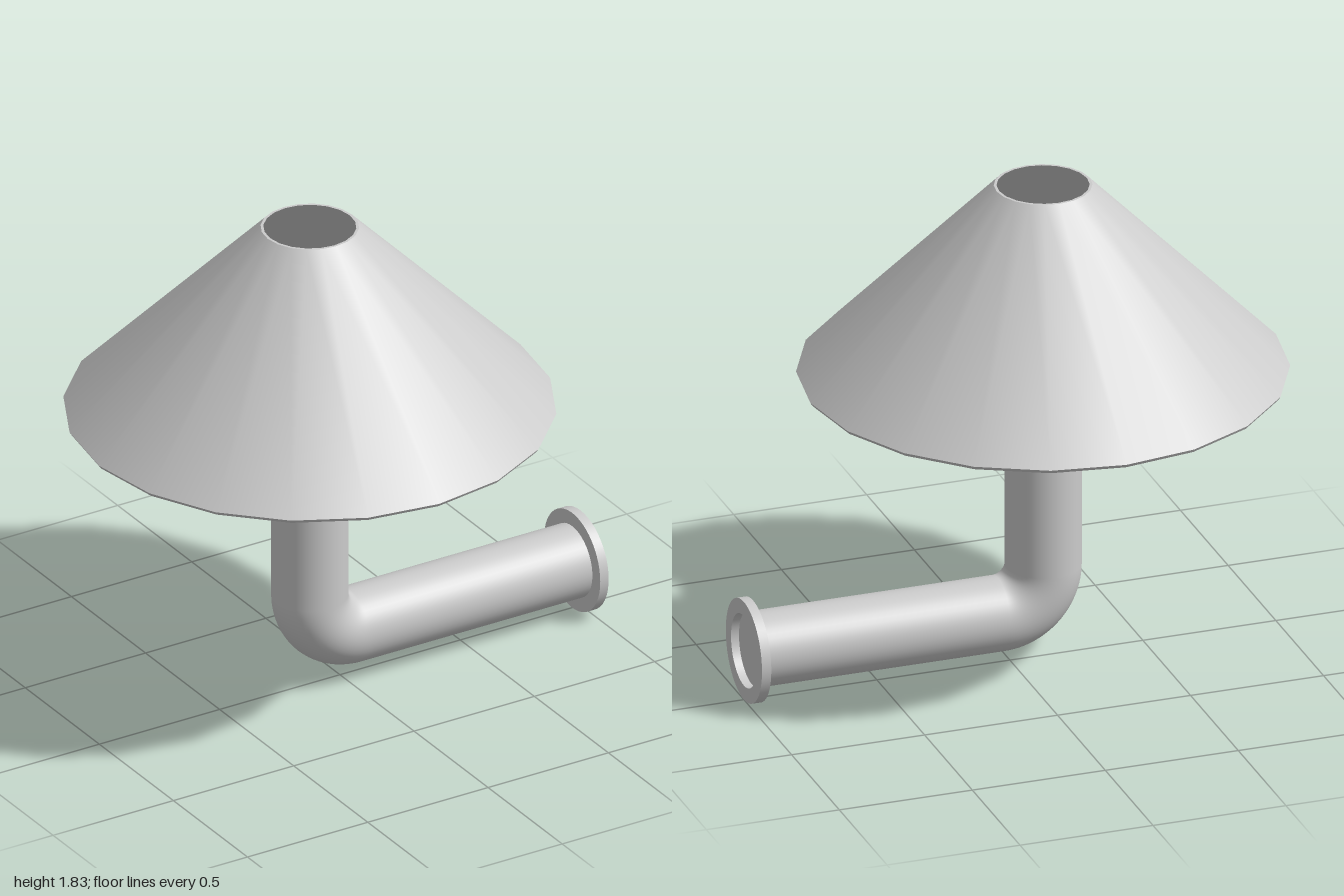
import * as THREE from 'three';
import { mergeGeometries } from 'three/addons/utils/BufferGeometryUtils.js';

const material = new THREE.MeshStandardMaterial({ color: 0xcccccc });
const AXIS_X = -0.125; // vertical axis of the lamp
const PIPE_R = 0.137;
const ARM_Y = 0.19; // height of the horizontal arm
const BEND_R = 0.17;
const PIPE_TOP = 1.06;
const FLANGE_X = 0.965;

// Revolves a profile one straight run at a time, so its corners stay sharp.
function revolve(profile, segments) {
  const runs = [];
  for (let i = 0; i < profile.length - 1; i++) {
    const pair = [profile[i], profile[i + 1]].map(([r, y]) => new THREE.Vector2(r, y));
    runs.push(new THREE.LatheGeometry(pair, segments));
  }
  return mergeGeometries(runs);
}

function add(parent, name, geometry, x = 0, y = 0, z = 0) {
  const mesh = new THREE.Mesh(geometry, material);
  mesh.name = name;
  mesh.position.set(x, y, z);
  parent.add(mesh);
  return mesh;
}

// Round bar between two points.
function addRod(parent, name, from, to, radius) {
  const dir = to.clone().sub(from);
  const rod = add(parent, name, new THREE.CylinderGeometry(radius, radius, dir.length(), 12));
  rod.position.copy(from).add(to).multiplyScalar(0.5);
  rod.quaternion.setFromUnitVectors(new THREE.Vector3(0, 1, 0), dir.normalize());
  return rod;
}

export function createModel() {
  const model = new THREE.Group();
  model.name = 'wallLamp';

  // Bent pipe: upright post, elbow and horizontal arm
  const pipe = new THREE.Group();
  pipe.name = 'pipe';
  model.add(pipe);
  const bendY = ARM_Y + BEND_R;
  const bendX = AXIS_X + BEND_R;
  const postLength = PIPE_TOP - bendY;
  add(pipe, 'post', new THREE.CylinderGeometry(PIPE_R, PIPE_R, postLength, 48),
    AXIS_X, bendY + postLength / 2);
  const elbow = add(pipe, 'elbow',
    new THREE.TorusGeometry(BEND_R, PIPE_R, 48, 24, Math.PI / 2), bendX, bendY);
  elbow.rotation.z = Math.PI;
  const armLength = FLANGE_X + 0.005 - bendX;
  const arm = add(pipe, 'arm', new THREE.CylinderGeometry(PIPE_R, PIPE_R, armLength, 48),
    bendX + armLength / 2, ARM_Y);
  arm.rotation.z = -Math.PI / 2;

  // Wall flange: a ring standing proud of the capped pipe end
  const flange = add(model, 'wallFlange', revolve([
    [PIPE_R - 0.002, 0], [0.19, 0], [0.19, 0.035], [PIPE_R - 0.002, 0.035], [PIPE_R - 0.002, 0],
  ], 48), FLANGE_X, ARM_Y);
  flange.rotation.z = -Math.PI / 2;

  // Tapered bulb on the top of the post
  add(model, 'bulb', new THREE.CylinderGeometry(0.047, 0.097, 0.56, 32), AXIS_X, PIPE_TOP + 0.28);

  // Four struts that carry the shade
  for (let i = 0; i < 4; i++) {
    const a = (i * Math.PI) / 2;
    const at = (r, y) => new THREE.Vector3(AXIS_X + r * Math.cos(a), y, r * Math.sin(a));
    addRod(model, `shadeStrut${i + 1}`, at(0.108, 1.04), at(0.372, 1.61), 0.012);
  }

  // Twenty-sided conical shade with a thin wall, open at both ends
  add(model, 'shade', revolve([
    [0.165, 1.83], [0.85, 1.105], [0.867, 1.102], [0.875, 1.115], [0.175, 1.83], [0.165, 1.83],
  ], 20), AXIS_X);

  return model;
}
